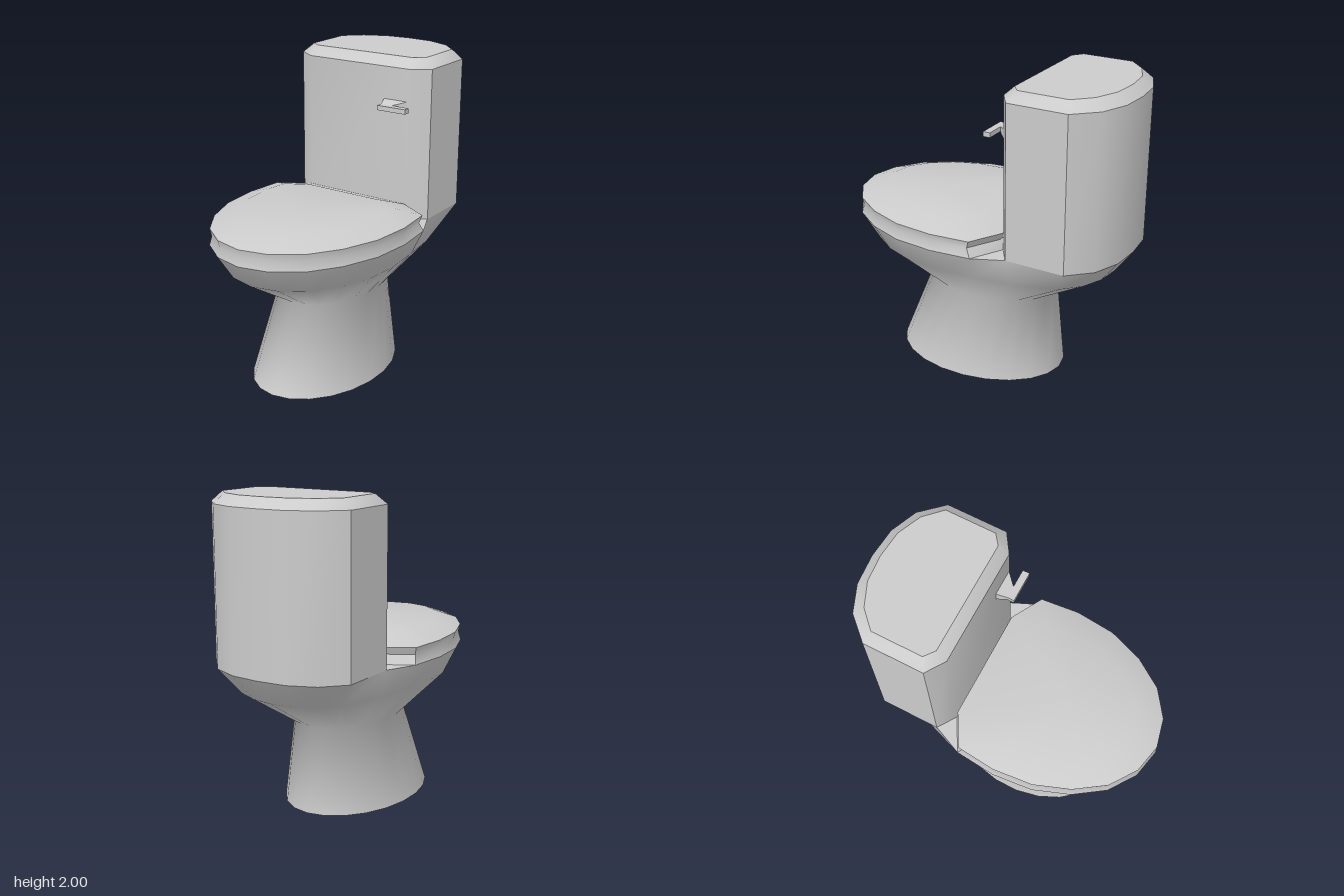
import * as THREE from 'three';
import { toCreasedNormals } from 'three/addons/utils/BufferGeometryUtils.js';

const material = new THREE.MeshStandardMaterial({ color: 0xcccccc });

// Half outlines are [x, z] pairs running from the front, round the +x side, to the back.
function ring(half, y, scale = 1) {
  const mirrored = half.filter(p => p[0] > 0).reverse().map(([x, z]) => [-x, z]);
  return [...half, ...mirrored].map(([x, z]) => new THREE.Vector3(x * scale, y, z * scale));
}

function halfEllipse(rx, rz, cz, steps) {
  return Array.from({ length: steps + 1 }, (_, i) => {
    const a = Math.PI * i / steps;
    return [i % steps ? rx * Math.sin(a) : 0, cz + rz * Math.cos(a)];
  });
}

// Skin a stack of rings, bottom to top, and close both ends.
function loft(name, rings, crease) {
  const pos = [];
  const tri = (...pts) => pts.forEach(p => pos.push(p.x, p.y, p.z));
  const n = rings[0].length;
  for (let k = 0; k < rings.length - 1; k++) {
    for (let i = 0; i < n; i++) {
      const j = (i + 1) % n, a = rings[k], b = rings[k + 1];
      tri(a[i], a[j], b[j]);
      tri(a[i], b[j], b[i]);
    }
  }
  const cap = (r, up) => {
    const c = r.reduce((s, p) => s.add(p), new THREE.Vector3()).divideScalar(n);
    r.forEach((p, i) => {
      const q = r[(i + 1) % n];
      if (up) tri(c, p, q); else tri(c, q, p);
    });
  };
  cap(rings[0], false);
  cap(rings[rings.length - 1], true);
  const geo = new THREE.BufferGeometry();
  geo.setAttribute('position', new THREE.Float32BufferAttribute(pos, 3));
  const mesh = new THREE.Mesh(toCreasedNormals(geo, crease), material);
  mesh.name = name;
  return mesh;
}

export function createModel() {
  const group = new THREE.Group();
  group.name = 'toilet';

  const bowlFront = [[0, 0.953], [0.19, 0.91], [0.36, 0.79], [0.49, 0.6], [0.575, 0.37], [0.6, 0.11], [0.575, -0.155]];
  const tankBack = [[0.49, -0.35], [0.49, -0.735], [0.36, -0.875], [0.19, -0.945], [0, -0.96]];

  // Pedestal, waist and bowl, with the deck that carries the tank
  const belly = [[0, 0.84], [0.17, 0.8], [0.32, 0.69], [0.43, 0.53], [0.505, 0.33], [0.52, 0.1],
    [0.5, -0.14], [0.47, -0.38], [0.37, -0.66], [0.27, -0.76], [0.14, -0.82], [0, -0.84]];
  group.add(loft('bowlAndPedestal', [
    ring(halfEllipse(0.41, 0.578, 0.092, 11), 0),
    ring(halfEllipse(0.31, 0.44, 0.003, 11), 0.55),
    ring(belly, 0.8),
    ring([...bowlFront, ...tankBack], 0.965),
  ], 1.45));

  // Closed seat and lid: grooved edge, sloping border, flat top
  const lid = [...bowlFront, [0.37, -0.27]];
  const lidTop = [[0, 0.77], [0.14, 0.74], [0.25, 0.655], [0.34, 0.53], [0.4, 0.37], [0.42, 0.12], [0.4, -0.01], [0.25, -0.09]];
  group.add(loft('seatAndLid', [
    ring(lid, 0.965),
    ring(lid.map(([x, z]) => [x * 0.97, z < 0 ? z + 0.028 : z * 0.985]), 1.022),
    ring(lid.map(([x, z]) => [x * 0.99, z < 0 ? z + 0.01 : z * 0.995]), 1.07),
    ring(lidTop, 1.13),
  ], 0.8));

  // Tank with bevelled top
  const tank = [[0.37, -0.27], ...tankBack];
  const tankTop = [[0.36, -0.335], [0.425, -0.385], [0.425, -0.71], [0.32, -0.815], [0.17, -0.88], [0, -0.895]];
  group.add(loft('tank', [ring(tank, 0.965), ring(tank, 1.94), ring(tankTop, 2)], 0.7));

  // Flush handle: tapered mount and flat lever
  const handle = new THREE.Group();
  handle.name = 'flushHandle';
  const mountGeo = new THREE.BoxGeometry(1, 1, 1).toNonIndexed();
  const p = mountGeo.attributes.position;
  for (let i = 0; i < p.count; i++) {
    const front = p.getZ(i) > 0, right = p.getX(i) > 0;
    const x = front ? (right ? 0.295 : 0.215) : (right ? 0.365 : 0.195);
    p.setXYZ(i, x, 1.7 + p.getY(i) * (front ? 0.03 : 0.07), front ? -0.205 : -0.272);
  }
  mountGeo.computeVertexNormals();
  const mount = new THREE.Mesh(mountGeo, material);
  mount.name = 'handleMount';
  const lever = new THREE.Mesh(new THREE.BoxGeometry(0.2, 0.03, 0.045), material);
  lever.name = 'handleLever';
  lever.position.set(0.315, 1.7, -0.183);
  handle.add(mount, lever);
  group.add(handle);

  return group;
}
